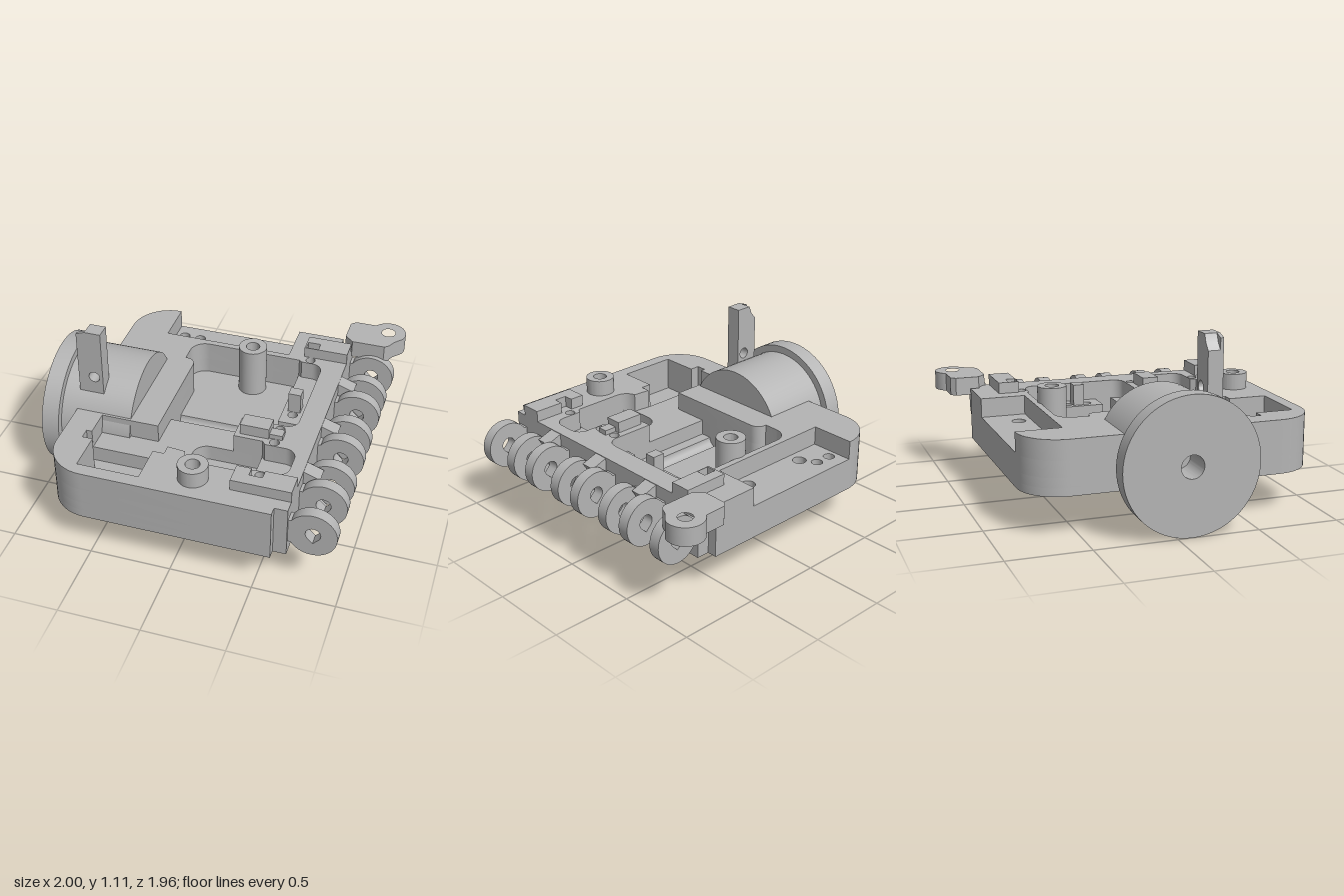
import * as THREE from 'three';
import { toCreasedNormals } from 'three/addons/utils/BufferGeometryUtils.js';

export function createModel() {
  const root = new THREE.Group();
  const grey = new THREE.MeshStandardMaterial({ color: 0xb4b4b4 });
  grey.name = 'plain grey';

  const add = (name, geo) => {
    const m = new THREE.Mesh(toCreasedNormals(geo, 0.6), grey);
    m.name = name;
    root.add(m);
    return m;
  };
  const box = (name, x0, x1, y0, y1, z0, z1) => add(name,
    new THREE.BoxGeometry(x1 - x0, y1 - y0, z1 - z0)
      .translate((x0 + x1) / 2, (y0 + y1) / 2, (z0 + z1) / 2));

  // Plan outlines are written as [x, z]
  const plan = (pts) => pts.map(([x, z]) => new THREE.Vector2(x, -z));
  const circle = (x, z, r) => plan(Array.from({ length: 28 }, (_, i) => {
    const a = i / 28 * Math.PI * 2;
    return [x + r * Math.cos(a), z + r * Math.sin(a)];
  }));
  const arc = (x, z, r, a0, a1, n = 12) => Array.from({ length: n + 1 }, (_, i) => {
    const a = (a0 + (a1 - a0) * i / n) * Math.PI / 180;
    return [x + r * Math.cos(a), z + r * Math.sin(a)];
  });
  const slab = (name, outline, holes, y0, y1) => {
    const s = new THREE.Shape(plan(outline));
    s.holes = holes.map((h) => new THREE.Path(h));
    return add(name, new THREE.ExtrudeGeometry(s, { depth: y1 - y0, bevelEnabled: false, curveSegments: 20 })
      .rotateX(-Math.PI / 2).translate(0, y0, 0));
  };

  // Housing outline, rounded on the barrel side, stepped on the hinge side
  const outline = (notch) => [
    ...arc(-0.54, 0.73, 0.25, 180, 90), [0.6, 0.98], [0.6, 0.925], [0.68, 0.925],
    [0.68, -0.75], [0.6, -0.75], [0.6, -0.81],
    ...(notch ? [[0.3, -0.81], [0.3, -0.53], [-0.535, -0.53], [-0.535, -0.81]] : []),
    ...arc(-0.54, -0.56, 0.25, 270, 180),
  ];
  const pinHoles = [-0.51, -0.2, -0.07, 0.24, 0.37, 0.68].map((z) => circle(0.45, z, 0.03));
  const edgePins = [0, 3, 4, 5].map((i) => pinHoles[i]);
  const screwHoles = [[-0.475, -0.7, 0.035], [-0.365, -0.7, 0.035], [-0.305, -0.61, 0.043], [0.14, -0.61, 0.043]]
    .map((h) => circle(...h));
  const channel = [[-0.26, 0.02], [0.54, 0.02], [0.54, 0.13], [-0.26, 0.13]];

  // Cavities
  const rearPocket = [
    [-0.33, -0.3], ...arc(-0.23, -0.39, 0.1, 180, 270), [0.38, -0.49], [0.38, 0.02], [0.54, 0.02],
    [0.54, 0.13], [0.38, 0.13], [0.38, 0.2], [-0.26, 0.2], ...arc(-0.32, -0.24, 0.06, 0, -80, 6),
  ];
  const frontPocket = [
    ...arc(0.06, 0.47, 0.09, 180, 270, 8), [0.38, 0.38], [0.38, 0.68], ...arc(0.06, 0.59, 0.09, 90, 180, 8),
  ];
  const motorWell = [
    [-0.14, 0.595], [-0.14, 0.66], [-0.21, 0.66], [-0.21, 0.9],
    [-0.59, 0.9], [-0.59, 0.66], [-0.655, 0.66], [-0.655, 0.595],
  ];
  const upperCavity = [
    [-0.33, -0.3], ...arc(-0.23, -0.39, 0.1, 180, 270), [0.38, -0.49], [0.4, -0.475],
    ...arc(0.47, -0.405, 0.07, 270, 360, 6), ...arc(0.47, 0.13, 0.07, 0, 90, 6),
    [0.2, 0.2], [0.2, 0.38], [0.38, 0.38], [0.4, 0.405],
    ...arc(0.53, 0.475, 0.07, 270, 360, 6), ...arc(0.53, 0.575, 0.07, 0, 90, 6),
    [0.4, 0.645], [0.38, 0.68], ...arc(0.06, 0.59, 0.09, 90, 170, 8), ...motorWell,
    [-0.62, 0.595], [-0.62, 0.43], [-0.26, 0.43], ...arc(-0.32, -0.24, 0.06, 0, -80, 6),
  ];

  // Housing, stacked from floor to rim
  slab('housingFloor', outline(false), [...pinHoles, ...screwHoles], 0.25, 0.3);
  slab('housingChannelLayer', outline(false), [...pinHoles, ...screwHoles, plan(channel)], 0.3, 0.36);
  slab('housingPocketLayer', outline(false),
    [...pinHoles, ...screwHoles, plan(rearPocket), plan(frontPocket), plan(motorWell)], 0.36, 0.46);
  slab('housingRim', outline(true), [...edgePins, plan(upperCavity)], 0.46, 0.58);

  // Concave shaft trough: solid sliver on either side of a semicircular groove
  const groove = new THREE.Shape([[0.02, 0.3], [0.13, 0.3], [0.13, 0.36], ...arc(0.075, 0.36, 0.055, 0, -180, 14)]
    .map(([z, y]) => new THREE.Vector2(-z, y)));
  add('shaftTrough', new THREE.ExtrudeGeometry(groove, { depth: 0.8, bevelEnabled: false })
    .rotateY(Math.PI / 2).translate(-0.26, 0, 0));

  // Flanged barrel with a central bore, lying along x
  const lathe = (pts) => new THREE.LatheGeometry(pts.map(([r, y]) => new THREE.Vector2(r, y)), 64);
  add('barrel', lathe([[0.07, -1], [0.415, -1], [0.415, -0.89], [0.368, -0.89], [0.368, -0.44], [0.07, -0.44], [0.07, -1]])
    .rotateZ(-Math.PI / 2).translate(0, 0.415, 0.085));

  // Upright lever with a pivot hole and a broken tip
  const profile = (name, pts, holes, z0, z1) => {
    const s = new THREE.Shape(pts.map((p) => new THREE.Vector2(...p)));
    s.holes = holes.map((h) => new THREE.Path(h.map((p) => new THREE.Vector2(...p))));
    return add(name, new THREE.ExtrudeGeometry(s, { depth: z1 - z0, bevelEnabled: false }).translate(0, 0, z0));
  };
  const pivot = arc(-0.69, 0.795, 0.035, 0, 345, 23);
  profile('lever', [[-0.79, 0.68], [-0.635, 0.68], [-0.635, 1.11], [-0.735, 1.11], [-0.755, 1.06], [-0.79, 1.02]],
    [pivot], 0.255, 0.33);
  profile('leverFront', [[-0.79, 0.68], [-0.635, 0.68], [-0.635, 1.11], [-0.735, 1.11], [-0.79, 1.09]],
    [pivot], 0.33, 0.35);

  // Screw standoffs
  for (const [z, y0] of [[-0.41, 0.36], [0.815, 0.57]]) {
    add('standoff', lathe([[0.043, y0], [0.09, y0], [0.09, 0.682], [0.043, 0.682], [0.043, y0]]).translate(0.09, 0, z));
  }

  // Raised clip blocks along the hinge side, each with a slot for a catch
  for (const [x0, z0, z1] of [[0.32, 0.715, 0.85], [0.4, -0.67, -0.54]]) {
    const zc = z0 < 0 ? -0.575 : 0.745;
    box('clipBlock', x0, 0.41, 0.57, 0.65, z0, z1);
    box('clipBlock', 0.49, 0.68, 0.57, 0.65, z0, z1);
    if (zc - 0.03 > z0) box('clipBlock', 0.41, 0.49, 0.57, 0.65, z0, zc - 0.03);
    if (zc + 0.03 < z1) box('clipBlock', 0.41, 0.49, 0.57, 0.65, zc + 0.03, z1);
  }
  box('cableBlock', 0.23, 0.41, 0.57, 0.65, 0.245, 0.35);
  box('cableCatch', 0.41, 0.49, 0.57, 0.61, 0.275, 0.34);
  box('cableCatch', 0.41, 0.49, 0.45, 0.595, -0.17, -0.1);

  // Hinge knuckles with teardrop pin holes
  const tear = [...arc(0.825, 0.425, 0.045, -40, 220, 18), [0.825, 0.36]];
  for (const z of [-0.74, -0.48, -0.297, -0.04, 0.145, 0.4, 0.585, 0.838]) {
    profile('hingeKnuckle', arc(0.82, 0.42, 0.146, 0, 352.5, 47), [tear], z, z + 0.072);
    box('hingeNeck', 0.66, 0.715, 0.34, 0.5, z, z + 0.072);
  }
  // Stops between knuckle pairs, hollowed at mid height
  for (const z of [-0.402, 0.045, 0.482]) {
    profile('hingeStop', [[0.67, 0.25], [0.81, 0.25], [0.81, 0.28], [0.73, 0.36], [0.73, 0.46], [0.78, 0.54], [0.67, 0.58]],
      [], z, z + 0.093);
  }

  // Mounting ear at the rear hinge corner
  slab('mountingEar', [
    [0.625, -0.9], [0.655, -0.93], ...arc(0.885, -0.87, 0.113, 213, 385, 24),
    [0.94, -0.77], [0.915, -0.72], [0.89, -0.7], [0.68, -0.7], [0.625, -0.75],
  ], [circle(0.885, -0.87, 0.045)], 0.535, 0.65);
  return root;
}
